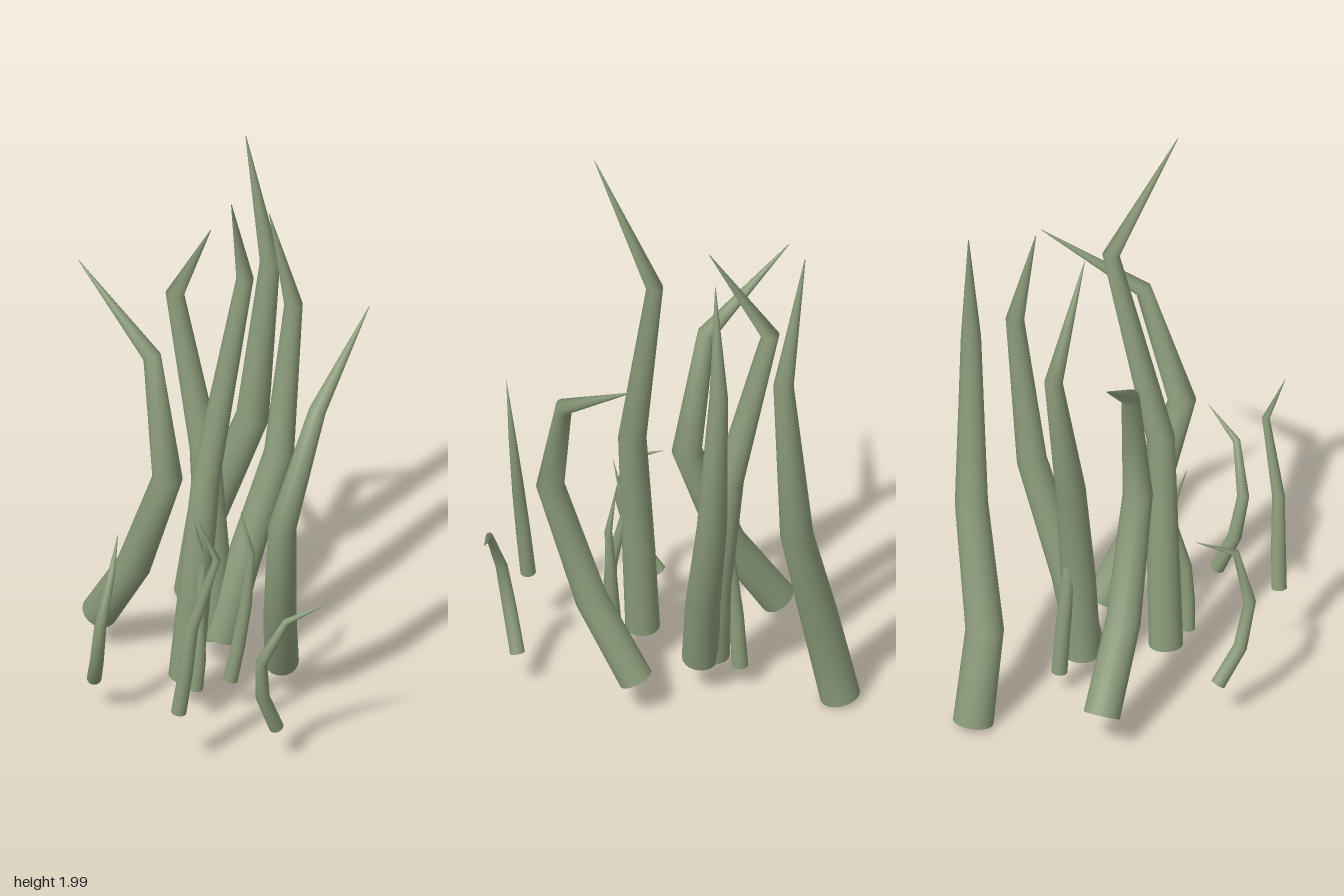
import * as THREE from 'three';

const SIDES = 20;
// Radius of each ring as a share of the base radius; the last ring is the tip
const TAPER = [1, 0.95, 0.82, 0.5, 0.02];

// Bent, tapering stalk: rings set square to the path, flat cap at the base
function stalkGeometry(points, radius) {
  const path = points.map((p) => new THREE.Vector3(...p));
  const pos = [];
  const index = [];
  path.forEach((p, i) => {
    const dir = new THREE.Vector3();
    if (i > 0) dir.add(p.clone().sub(path[i - 1]).normalize());
    if (i < path.length - 1) dir.add(path[i + 1].clone().sub(p).normalize());
    const turn = new THREE.Quaternion().setFromUnitVectors(new THREE.Vector3(0, 1, 0), dir.normalize());
    for (let s = 0; s < SIDES; s++) {
      const a = (s / SIDES) * Math.PI * 2;
      const v = new THREE.Vector3(Math.cos(a), 0, Math.sin(a)).multiplyScalar(radius * TAPER[i]);
      v.applyQuaternion(turn).add(p);
      pos.push(v.x, v.y, v.z);
    }
  });
  for (let i = 0; i < path.length - 1; i++) {
    for (let s = 0; s < SIDES; s++) {
      const a = i * SIDES + s;
      const b = i * SIDES + ((s + 1) % SIDES);
      index.push(a, a + SIDES, b, b, a + SIDES, b + SIDES);
    }
  }
  // Base cap, with its own corners so the rim stays sharp
  const rim = pos.length / 3;
  pos.push(...pos.slice(0, SIDES * 3), ...points[0]);
  for (let s = 0; s < SIDES; s++) index.push(rim + s, rim + ((s + 1) % SIDES), rim + SIDES);

  const geometry = new THREE.BufferGeometry();
  geometry.setAttribute('position', new THREE.Float32BufferAttribute(pos, 3));
  geometry.setIndex(index);
  geometry.computeVertexNormals();
  return geometry;
}

// Each stalk: base radius, then base, three bends and tip
const TALL = [
  [0.066, [-0.53, 0.02, -0.295], [-0.46, 0.34, -0.29], [-0.35, 0.74, -0.395], [-0.295, 1.35, -0.425], [-0.38, 1.8, -0.39]],
  [0.06, [-0.12, 0.13, -0.1], [-0.105, 0.38, -0.17], [-0.09, 0.77, -0.31], [-0.093, 1.31, -0.37], [-0.11, 1.68, -0.285]],
  [0.06, [-0.16, 0.125, -0.09], [-0.17, 0.42, -0.1], [-0.215, 0.8, -0.105], [-0.36, 1.32, -0.092], [-0.155, 1.67, -0.085]],
  [0.06, [-0.46, 0.14, 0.135], [-0.29, 0.4, 0.125], [-0.14, 0.8, 0.1], [-0.21, 1.23, 0.11], [-0.515, 1.47, 0.18]],
  [0.056, [0.12, 0.135, -0.165], [0.24, 0.41, -0.07], [0.355, 0.83, 0.005], [0.355, 1.22, -0.135], [0.225, 1.44, -0.44]],
  [0.056, [0, 0.13, 0.13], [0.02, 0.45, 0.11], [0.05, 0.9, 0.085], [0.03, 1.58, -0.085], [0.18, 2, 0.08]],
];
const SHORT = [
  [0.024, [0.438, 0.14, 0.09], [0.445, 0.28, 0.15], [0.465, 0.43, 0.17], [0.525, 0.595, 0.115], [0.588, 0.655, -0.02]],
  [0.025, [0.305, 0.24, 0.383], [0.325, 0.4, 0.37], [0.345, 0.57, 0.36], [0.388, 0.83, 0.292], [0.385, 1.01, 0.365]],
  [0.024, [-0.142, 0.145, 0.392], [-0.07, 0.26, 0.435], [-0.03, 0.42, 0.45], [-0.035, 0.6, 0.402], [-0.13, 0.67, 0.305]],
  [0.026, [-0.245, 0.09, -0.13], [-0.235, 0.28, -0.12], [-0.215, 0.48, -0.11], [-0.19, 0.66, -0.1], [-0.17, 0.8, -0.085]],
  [0.024, [0.095, 0.14, 0.16], [0.105, 0.25, 0.155], [0.1, 0.38, 0.15], [0.065, 0.6, 0.11], [0.09, 0.77, 0.16]],
  [0.024, [0.12, 0.14, 0.04], [0.135, 0.27, 0.02], [0.15, 0.43, 0], [0.163, 0.62, -0.012], [0.13, 0.775, 0.005]],
];

export function createModel() {
  const model = new THREE.Group();
  model.name = 'stalkCluster';
  const material = new THREE.MeshStandardMaterial({ color: 0x8b9c7a });
  for (const [name, list] of [['tallStalk', TALL], ['shortStalk', SHORT]]) {
    list.forEach(([radius, ...points], i) => {
      const mesh = new THREE.Mesh(stalkGeometry(points, radius), material);
      mesh.name = `${name}${i + 1}`;
      model.add(mesh);
    });
  }
  return model;
}
